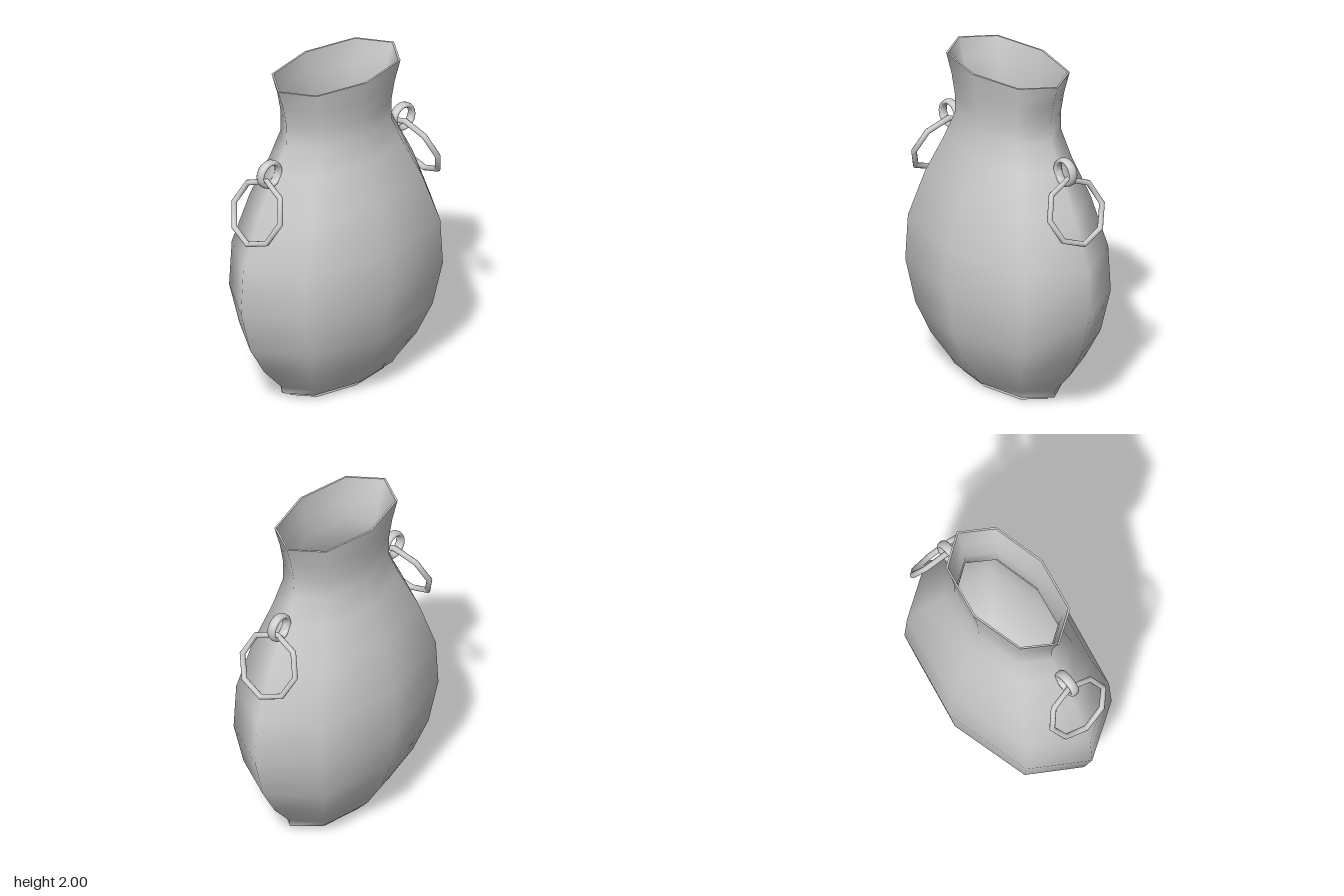
import * as THREE from 'three';

const SIDES = 8;
const material = new THREE.MeshStandardMaterial({ color: 0xcccccc, side: THREE.DoubleSide });

// Skin a smooth octagonal wall through rows of [y, half width in x, half depth in z].
function loft(rows) {
  const positions = [], index = [];
  for (const [y, rx, rz] of rows) {
    for (let i = 0; i < SIDES; i++) {
      const a = (i / SIDES) * Math.PI * 2;
      const k = i % 2 ? 1.025 : 1; // diagonal corners sit slightly outside the ellipse
      positions.push(Math.sin(a) * rx * k, y, Math.cos(a) * rz * k);
    }
  }
  for (let r = 0; r < rows.length - 1; r++) {
    for (let i = 0; i < SIDES; i++) {
      const j = (i + 1) % SIDES;
      const a = r * SIDES + i, b = r * SIDES + j;
      index.push(a, b, b + SIDES, a, b + SIDES, a + SIDES);
    }
  }
  const geometry = new THREE.BufferGeometry();
  geometry.setAttribute('position', new THREE.Float32BufferAttribute(positions, 3));
  geometry.setIndex(index);
  geometry.computeVertexNormals();
  return geometry;
}

function part(name, geometry, parent) {
  const mesh = new THREE.Mesh(geometry, material);
  mesh.name = name;
  parent.add(mesh);
  return mesh;
}

export function createModel() {
  const vase = new THREE.Group();
  vase.name = 'vase';

  // Body profile from base to lip
  const outer = [
    [0.035, 0.205, 0.422], [0.075, 0.237, 0.425], [0.22, 0.33, 0.56],
    [0.40, 0.40, 0.67], [0.66, 0.443, 0.742], [0.94, 0.43, 0.725],
    [1.24, 0.353, 0.60], [1.47, 0.263, 0.475], [1.63, 0.224, 0.39],
    [1.75, 0.228, 0.385], [1.87, 0.24, 0.41], [2.0, 0.262, 0.452],
  ];
  const wall = 0.012;
  const inner = outer.map(([y, x, z], i) => [i ? y : y + 0.01, x - wall, z - wall]);
  const lip = outer.length - 1;

  part('outerWall', loft(outer), vase);
  part('innerWall', loft([...inner].reverse()), vase);
  part('rim', loft([outer[lip], inner[lip]]), vase);

  // Base shelf, foot and floor
  const foot = [0.17, 0.358];
  part('baseUnderside', loft([[0.035, ...foot], outer[0]]), vase);
  part('innerShelf', loft([inner[0], [0.045, ...foot]]), vase);
  part('foot', loft([[0, ...foot], [0.045, ...foot]]), vase);
  part('floor', loft([[0.006, 0, 0], [0.006, ...foot]]), vase);

  // Loop and hanging ring on the front and back
  for (const [name, turn] of [['frontHandle', 0], ['backHandle', Math.PI]]) {
    const handle = new THREE.Group();
    handle.name = name;
    handle.rotation.y = turn;
    vase.add(handle);

    const loop = part('loop', new THREE.TorusGeometry(0.071, 0.0155, 10, 24).scale(1, 1, 1.8), handle);
    loop.rotation.y = Math.PI / 2;
    loop.position.set(0, 1.492, 0.52);

    const ring = part('hangingRing', new THREE.TorusGeometry(0.193, 0.017, 10, SIDES), handle);
    ring.rotation.x = -0.4;
    ring.position.set(0, 1.275, 0.615);
  }
  return vase;
}
